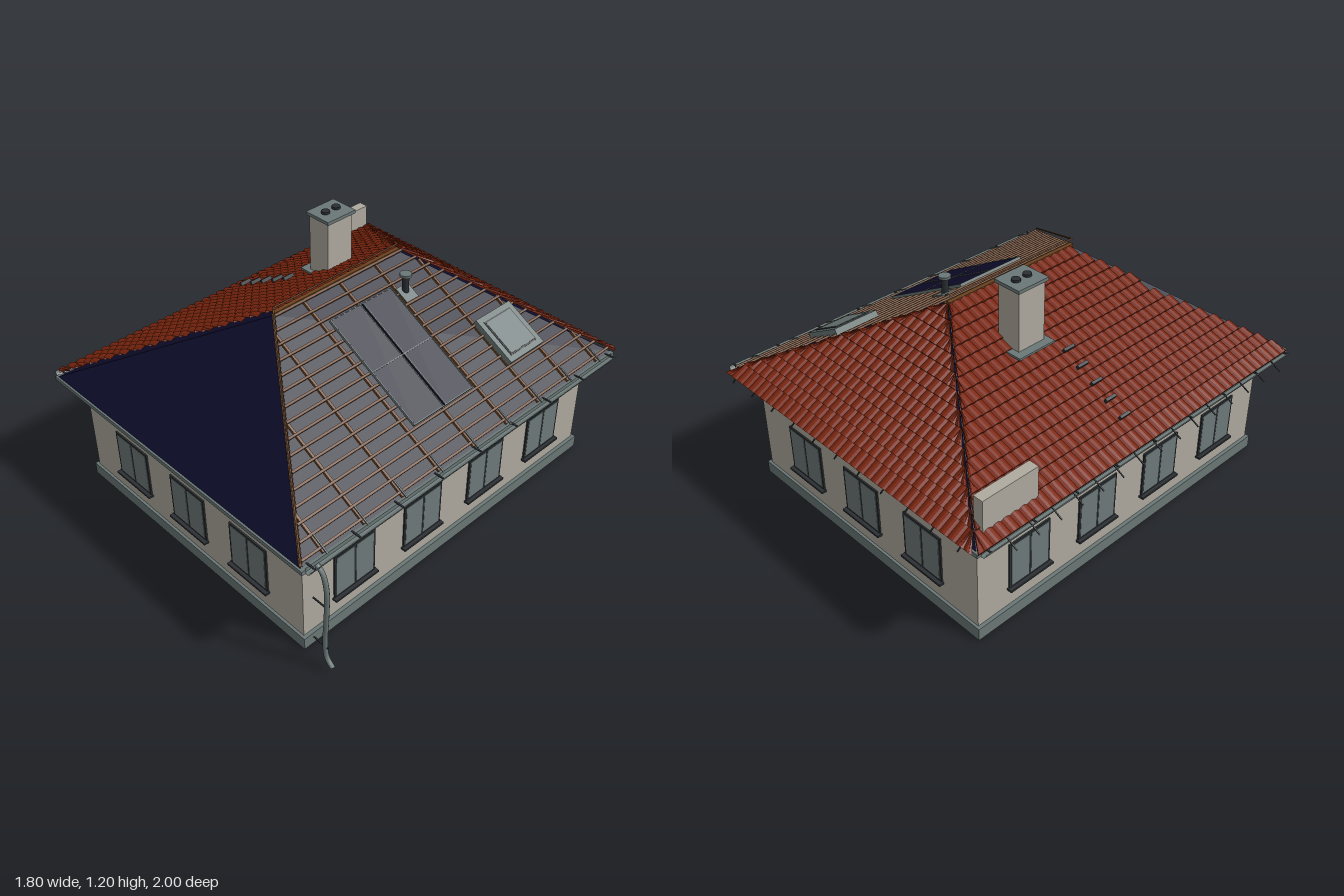
import * as THREE from 'three';

const mat = (name, color, side = THREE.FrontSide) =>
  Object.assign(new THREE.MeshStandardMaterial({ color, side }), { name });

const CX = -0.022, CZ = 0.006;      // house centre
const EAVE = 0.578, RISE = 0.445;   // membrane height at the eaves and roof rise

export function createModel() {
  const M = {
    wall: mat('wall plaster', 0xb0aba0),
    grey: mat('blue grey metal', 0x6b7877, THREE.DoubleSide),
    glass: mat('window glass', 0x6e7a7a),
    dark: mat('dark trim', 0x2b2f33),
    tile: mat('red roof tile', 0x7c260f, THREE.DoubleSide),
    membrane: mat('navy membrane', 0x0d0c2a),
    batten: mat('batten wood', 0x6b421f),
    wood: mat('pale wood', 0xb58f58),
    under: mat('teal underlay', 0x466b69, THREE.DoubleSide),
  };
  const root = new THREE.Group();
  root.name = 'house';
  const house = new THREE.Group();
  house.name = 'building';
  house.position.set(CX, 0, CZ);
  root.add(house);

  const add = (parent, name, geo, m, x = 0, y = 0, z = 0) => {
    const mesh = new THREE.Mesh(geo, m);
    mesh.name = name;
    mesh.position.set(x, y, z);
    parent.add(mesh);
    return mesh;
  };
  const box = (p, name, m, w, h, d, x, y, z) => add(p, name, new THREE.BoxGeometry(w, h, d), m, x, y, z);
  const cyl = (p, name, m, r, h, x, y, z, n = 12) =>
    add(p, name, new THREE.CylinderGeometry(r, r, h, n), m, x, y, z);
  const rod = (p, name, m, a, b, r) => {
    const path = new THREE.LineCurve3(new THREE.Vector3(...a), new THREE.Vector3(...b));
    return add(p, name, new THREE.TubeGeometry(path, 1, r, 6), m);
  };

  // Walls and plinth
  box(house, 'walls', M.wall, 1.445, 0.45, 1.785, 0, 0.285, 0);
  box(house, 'plinth', M.grey, 1.48, 0.06, 1.81, 0, 0.03, 0);

  // Windows on all four sides
  const addWindow = (p, x, z) => {
    const g = new THREE.Group();
    g.name = 'window';
    g.position.set(x, 0.273, z);
    p.add(g);
    box(g, 'windowFrame', M.dark, 0.23, 0.232, 0.008, 0, 0, 0.003);
    for (const s of [-1, 1]) box(g, 'windowPane', M.glass, 0.098, 0.212, 0.004, s * 0.055, 0, 0.0065);
    box(g, 'windowSill', M.dark, 0.245, 0.01, 0.026, 0, -0.121, 0.012);
  };
  for (let i = 0; i < 4; i++) {
    const side = new THREE.Group();
    side.name = 'wallSide';
    side.rotation.y = i * Math.PI / 2;
    house.add(side);
    const xs = i % 2 ? [-0.61, -0.205, 0.205, 0.61] : [-0.398, 0, 0.398];
    for (const x of xs) addWindow(side, x, i % 2 ? 0.7225 : 0.8925);
  }

  // Eaves: wooden ring beam, metal edge and rafter tails
  for (const s of [-1, 1]) {
    box(house, 'eaveBoard', M.wood, 0.03, 0.028, 1.92, s * 0.785, 0.544, 0);
    box(house, 'eaveBoard', M.wood, 1.6, 0.028, 0.03, 0, 0.544, s * 0.945);
    box(house, 'eaveEdge', M.grey, 0.02, 0.02, 1.95, s * 0.81, 0.566, 0);
    box(house, 'eaveEdge', M.grey, 1.65, 0.02, 0.022, 0, 0.566, s * 0.972);
    for (let i = -6; i <= 6; i++) {
      box(house, 'rafterTail', M.batten, 0.14, 0.03, 0.022, s * 0.72, 0.56, i * 0.14);
      if (Math.abs(i) < 6) box(house, 'rafterTail', M.batten, 0.022, 0.03, 0.12, i * 0.13, 0.56, s * 0.88);
    }
    // Half-round gutter with its brackets
    const gutter = new THREE.CylinderGeometry(0.025, 0.025, 1.93, 10, 1, true, -Math.PI / 2, Math.PI);
    add(house, 'gutter', gutter.rotateX(Math.PI / 2), M.grey, s * 0.828, 0.58, 0);
    for (let i = -4; i <= 4; i++) box(house, 'gutterBracket', M.dark, 0.05, 0.004, 0.008, s * 0.828, 0.58, i * 0.235);
  }

  // Slope frame: local x along the eave, y up the slope, z outward
  const makeSlope = (name, heading, dist, run, half0, half1) => {
    const g = new THREE.Group();
    g.name = name;
    g.rotation.order = 'YXZ';
    g.rotation.set(Math.atan2(RISE, run) - Math.PI / 2, heading, 0);
    g.position.set(Math.sin(heading) * dist, EAVE, Math.cos(heading) * dist);
    house.add(g);
    const L = Math.hypot(run, RISE);
    const half = (v) => half0 + (half1 - half0) * Math.min(1, Math.max(0, v / L));
    const shape = new THREE.Shape();
    shape.moveTo(-half0, 0).lineTo(half0, 0).lineTo(half1, L).lineTo(-half1, L).closePath();
    add(g, 'membrane', new THREE.ShapeGeometry(shape), M.membrane);
    add(g, 'underlay', new THREE.ShapeGeometry(shape), M.under, 0, 0, -0.006);
    return { g, L, half, run };
  };
  const front = makeSlope('frontSlope', 0, 0.975, 0.6, 0.81, 0.001);
  const right = makeSlope('rightSlope', Math.PI / 2, 0.81, 0.81, 0.975, 0.375);
  const back = makeSlope('backSlope', Math.PI, 0.975, 0.6, 0.81, 0.001);
  const left = makeSlope('leftSlope', -Math.PI / 2, 0.81, 0.81, 0.975, 0.375);

  // Overlapping curved tiles, cut along the hips or left stepped on one side
  const addTiles = ({ g, L, half }, rows, stepped) => {
    const pos = [], w = 0.0455, n = 4, h = L / rows;
    const quad = (a, b, c, d) => pos.push(...a, ...b, ...c, ...a, ...c, ...d);
    const cols = Math.ceil(half(0) / w);
    for (let r = 0; r < rows; r++) {
      const v0 = r * h - (r ? 0 : 0.02), v1 = (r + 1) * h;
      for (let c = -cols; c < cols; c++) {
        if (c * w > half(v0) || (c + 1) * w < -half(v0)) continue;
        if (stepped && (c + 1) * w > half(v0 + h * 0.6)) continue;
        const pt = (k, v, z) => {
          const lim = half(v) + (v < 0 ? 0.015 : 0.004);
          const u = Math.min(lim, Math.max(-lim, (c + k / n) * w));
          return [u, v, z + 0.009 * Math.sin(Math.PI * k / n)];
        };
        for (let k = 0; k < n; k++) {
          const a = pt(k, v0, 0.021), b = pt(k + 1, v0, 0.021);
          quad(a, b, pt(k + 1, v1, 0.01), pt(k, v1, 0.01));
          quad([a[0], v0, 0.008], [b[0], v0, 0.008], b, a);
        }
      }
    }
    const geo = new THREE.BufferGeometry();
    geo.setAttribute('position', new THREE.Float32BufferAttribute(pos, 3));
    geo.computeVertexNormals();
    add(g, 'roofTiles', geo, M.tile);
  };
  addTiles(left, 15, true);
  addTiles(back, 13, false);

  // Open battens on the right slope
  for (let i = 0; i < 16; i++) {
    const v = 0.02 + i * (right.L - 0.03) / 15;
    box(right.g, 'batten', M.batten, 2 * right.half(v), 0.011, 0.009, 0, v, 0.016);
  }
  for (let i = -4; i <= 4; i++) {
    const u = i * 0.215, top = Math.min(1, (0.975 - Math.abs(u)) / 0.6) * right.L;
    box(right.g, 'counterBatten', M.batten, 0.012, top, 0.012, u, top / 2, 0.006);
    box(right.g, 'eaveHook', M.grey, 0.006, 0.09, 0.006, u, 0.03, 0.024);
  }

  // Ridge and hip rails
  rod(house, 'ridgeRail', M.batten, [0, 1.062, 0.375], [0, 1.062, -0.37], 0.004);
  rod(house, 'hipRail', M.batten, [0, 1.062, 0.375], [0.81, 0.605, 0.975], 0.004);
  box(house, 'ridgeBoard', M.batten, 0.02, 0.03, 0.75, 0, 1.025, 0);
  rod(house, 'hipBoard', M.batten, [0, 1.028, 0.375], [0.81, 0.585, 0.975], 0.008);

  // Eave pins on the tiled sides
  for (let i = -7; i <= 7; i++) box(left.g, 'eavePin', M.dark, 0.005, 0.09, 0.005, i * 0.12, -0.037, 0.01);
  for (let i = -5; i <= 5; i++) box(back.g, 'eavePin', M.dark, 0.005, 0.06, 0.005, i * 0.15, -0.011, 0.01);

  // Climbing steps on the tiled slope
  for (let i = 0; i < 5; i++) {
    const v = (0.11 + i * 0.081) / left.run * left.L;
    box(left.g, 'roofStep', M.dark, 0.06, 0.014, 0.018, -0.052, v, 0.035);
  }

  // Solar panels
  const sv = (x) => (0.788 - x) / right.run * right.L;
  const pLow = sv(0.605), pMid = sv(0.36), pHigh = sv(0.11);
  for (const u of [-0.1, 0.085]) {
    box(right.g, 'solarPanel', M.membrane, 0.173, pHigh - pLow, 0.012, u, (pLow + pHigh) / 2, 0.03);
  }
  for (const u of [-0.19, -0.013, 0.002, 0.175]) {
    box(right.g, 'panelRail', M.grey, 0.004, pHigh - pLow, 0.014, u, (pLow + pHigh) / 2, 0.031);
  }
  for (const v of [pLow, pMid, pHigh]) box(right.g, 'panelRail', M.grey, 0.365, 0.004, 0.014, -0.0075, v, 0.031);

  // Roof window
  const kLow = sv(0.61), kHigh = sv(0.395), kMid = (kLow + kHigh) / 2;
  box(right.g, 'skylightFrame', M.grey, 0.23, kHigh - kLow, 0.035, 0.54, kMid, 0.025);
  box(right.g, 'skylightTrim', M.dark, 0.178, kHigh - kLow - 0.055, 0.004, 0.54, kMid, 0.043);
  box(right.g, 'skylightGlass', M.glass, 0.165, kHigh - kLow - 0.07, 0.006, 0.54, kMid, 0.044);

  // Chimney with collar, cap and flues
  box(root, 'chimney', M.wall, 0.12, 0.36, 0.148, -0.28, 1.0, -0.194);
  box(root, 'chimneyCollar', M.grey, 0.09, 0.01, 0.205, -0.335, 0.888, -0.198);
  box(root, 'chimneyCap', M.grey, 0.145, 0.016, 0.17, -0.28, 1.185, -0.196);
  for (const z of [-0.23, -0.165]) cyl(root, 'flue', M.dark, 0.02, 0.014, -0.282, 1.197, z, 16);

  // Vent pipe
  cyl(root, 'ventPipe', M.dark, 0.016, 0.13, 0.156, 0.975, -0.232);
  cyl(root, 'ventCap', M.grey, 0.028, 0.012, 0.156, 1.036, -0.232);
  box(right.g, 'ventFlashing', M.grey, 0.075, 0.08, 0.006, 0.238, sv(0.156), 0.024);

  // Upright wall slab passing through the eave
  box(root, 'eaveSlab', M.wall, 0.05, 0.262, 0.29, -0.778, 0.63, -0.762);

  // Downpipe with clips
  const pipe = new THREE.CatmullRomCurve3([
    [0.8, 0.56], [0.83, 0.54], [0.853, 0.46], [0.85, 0.3], [0.842, 0.16], [0.85, 0.07], [0.882, 0.035],
  ].map(([x, y]) => new THREE.Vector3(x, y, 0.912)));
  add(root, 'downpipe', new THREE.TubeGeometry(pipe, 30, 0.011, 10), M.grey);
  for (const y of [0.36, 0.13]) box(root, 'pipeClip', M.dark, 0.085, 0.005, 0.006, 0.818, y, 0.912);

  return root;
}
